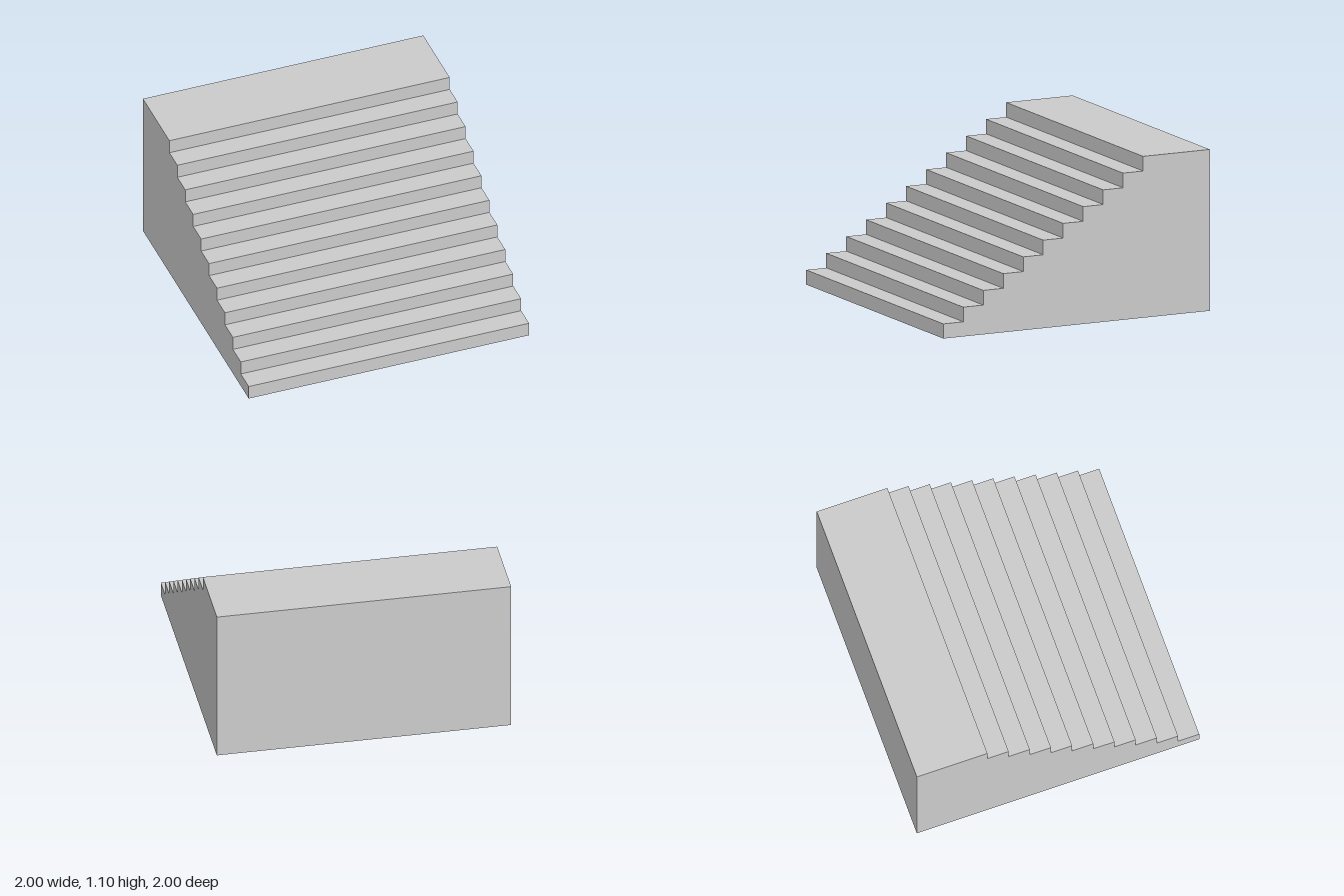
import * as THREE from 'three';

const WIDTH = 2;
const STEPS = 10;
const RISE = 0.1;
const TREAD = 0.15;

// Stepped side profile: shape x is depth (front at +1), shape y is height
function stairProfile() {
  const shape = new THREE.Shape();
  shape.moveTo(-1, 0);
  shape.lineTo(1, 0);
  for (let i = 0; i < STEPS; i++) {
    const y = (i + 1) * RISE;
    shape.lineTo(1 - i * TREAD, y);
    shape.lineTo(1 - (i + 1) * TREAD, y);
  }
  // Last riser and the deep top landing
  const top = (STEPS + 1) * RISE;
  shape.lineTo(1 - STEPS * TREAD, top);
  shape.lineTo(-1, top);
  shape.closePath();
  return shape;
}

export function createModel() {
  const group = new THREE.Group();
  group.name = 'staircase';

  // Solid flight of steps, extruded across the width
  const geometry = new THREE.ExtrudeGeometry(stairProfile(), { depth: WIDTH, bevelEnabled: false });
  geometry.rotateY(-Math.PI / 2);
  geometry.translate(WIDTH / 2, 0, 0);

  const flight = new THREE.Mesh(geometry, new THREE.MeshStandardMaterial({ color: 0xcccccc }));
  flight.name = 'stepsAndLanding';
  group.add(flight);
  return group;
}
